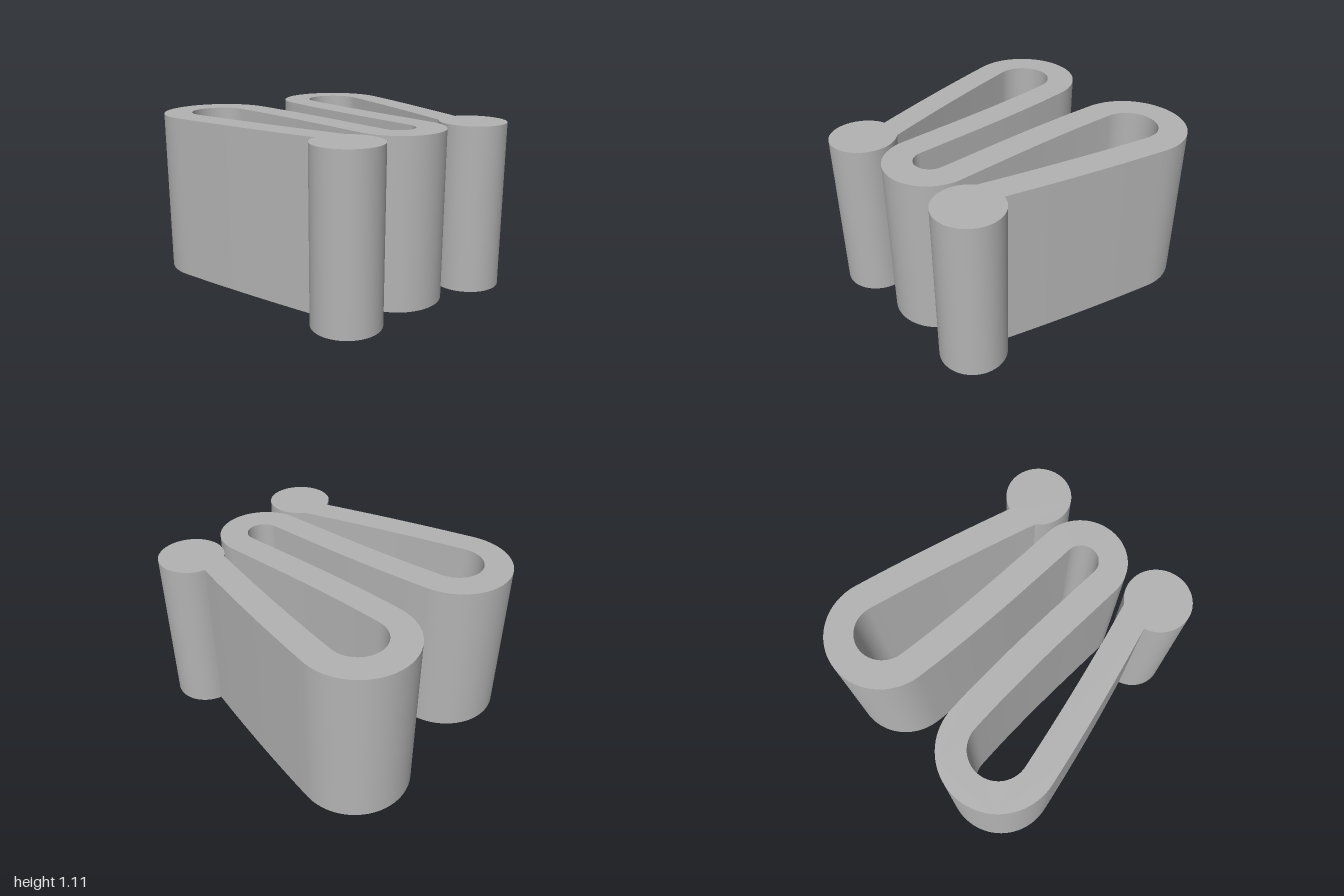
import * as THREE from 'three';
import { toCreasedNormals } from 'three/addons/utils/BufferGeometryUtils.js';

const HEIGHT = 1.107;
const KNOB = { x: 0.78, v: 0.54, r: 0.22 };
const rad = THREE.MathUtils.degToRad;

// Points on the rim of a round end; side is 1 or -1
function knobArc(side, from, to, steps = 56) {
  return Array.from({ length: steps + 1 }, (_, i) => {
    const a = rad(from + ((to - from) * i) / steps);
    return new THREE.Vector2(KNOB.x + KNOB.r * Math.cos(a), side * KNOB.v + KNOB.r * Math.sin(a));
  });
}

// One edge of the folded band: arm, big bend, middle run, half of the small bend, then mirrored
function bandEdge(start, armMidV, bigR, smallR) {
  const a0 = rad(77.7), a1 = rad(265), cx = -0.62, cv = 0.522;
  const path = new THREE.Path();
  path.moveTo(start.x, start.y);
  path.quadraticCurveTo(0, armMidV, cx + bigR * Math.cos(a0), cv + bigR * Math.sin(a0));
  path.absarc(cx, cv, bigR, a0, a1, false);
  path.quadraticCurveTo(-0.3, smallR + 0.003, 0.2, smallR);
  path.lineTo(0.635, smallR);
  path.absarc(0.635, 0, smallR, Math.PI / 2, 0, true);
  const half = path.getPoints(20);
  const mirrored = half.slice(0, -1).reverse().map((p) => new THREE.Vector2(p.x, -p.y));
  return [...half, ...mirrored];
}

export function createModel() {
  const group = new THREE.Group();
  group.name = 'foldedSpring';

  const grey = new THREE.MeshStandardMaterial({ color: 0xb3b3b3 });
  grey.name = 'grey';

  // Closed outline: outer edge, first round end, inner edge back, second round end
  const lowerKnob = knobArc(-1, 197.7, 501.5);
  const upperKnob = knobArc(1, 218.5, 522.3);
  const outer = bandEdge(upperKnob[upperKnob.length - 1], 0.773, 0.378, 0.112);
  const inner = bandEdge(upperKnob[0], 0.58, 0.189, 0.302);
  const outline = [
    ...outer,
    ...lowerKnob.slice(1, -1),
    ...inner.reverse(),
    ...upperKnob.slice(1, -1),
  ];

  // Extrude upwards, with smooth bends and sharp rims
  const extruded = new THREE.ExtrudeGeometry(new THREE.Shape(outline), { depth: HEIGHT, bevelEnabled: false });
  extruded.rotateX(-Math.PI / 2);
  const spring = new THREE.Mesh(toCreasedNormals(extruded, 0.5), grey);
  spring.name = 'foldedBandWithRoundEnds';
  group.add(spring);
  return group;
}
